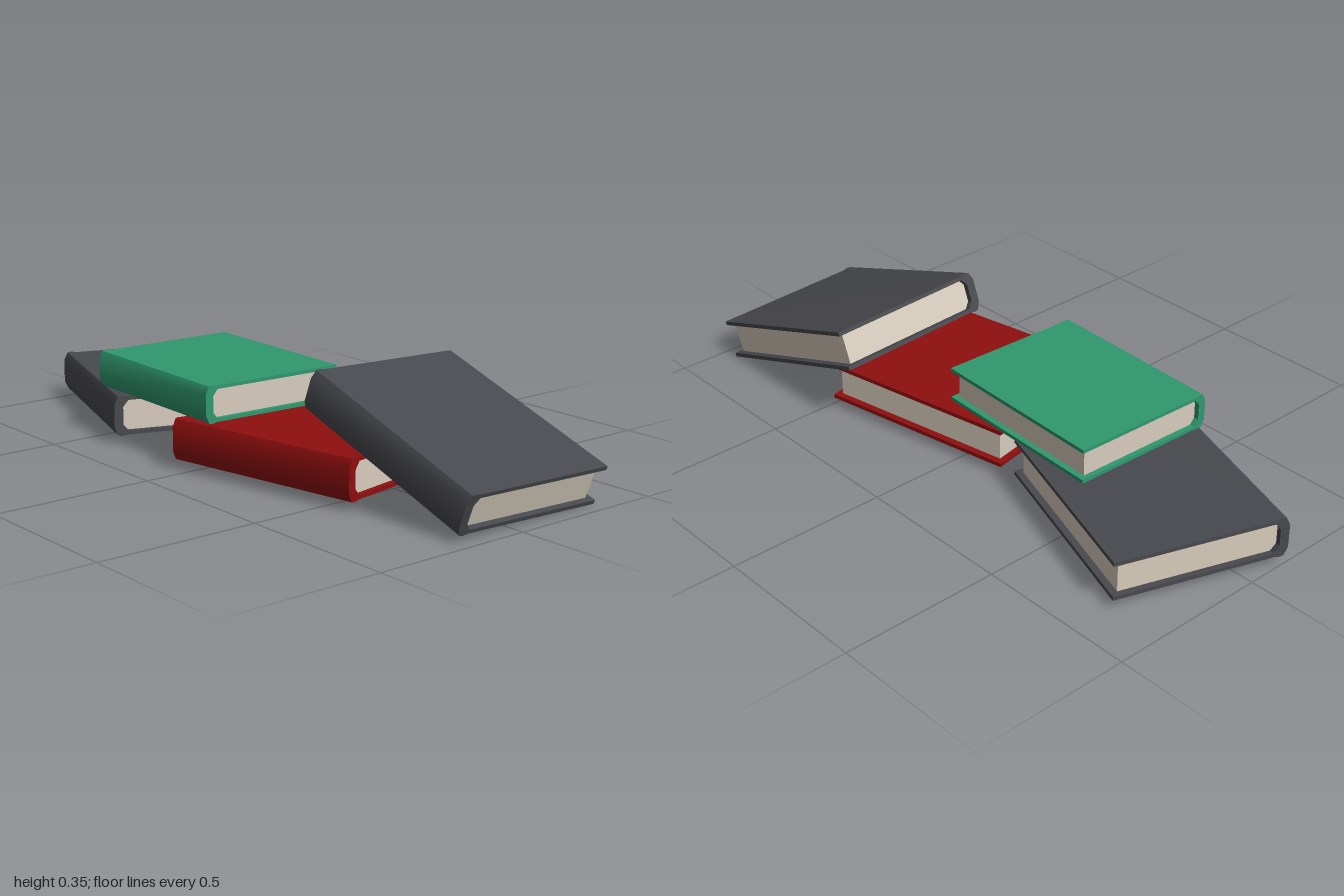
import * as THREE from 'three';
import { toCreasedNormals } from 'three/addons/utils/BufferGeometryUtils.js';

const LENGTH = 0.656;      // along the spine
const PAGE_INSET = 0.018;  // covers overhang the pages

// Mirrors an upper half-profile below y = 0 and extrudes it, centred, along z
function extrudeProfile(points, depth) {
  const shape = new THREE.Shape(points.map(([x, y]) => new THREE.Vector2(x, y)));
  const geometry = new THREE.ExtrudeGeometry(shape, { depth, bevelEnabled: false });
  geometry.translate(0, 0, -depth / 2);
  return toCreasedNormals(geometry, 0.6);
}

const mirrored = (half) => half.map(([x, y]) => [x, -y]).reverse();

function createBook(name, color, pageMaterial) {
  const book = new THREE.Group();
  book.name = name;

  // Cover: a C-shaped section with a faceted spine and shallow hinge grooves
  const outer = [
    [0.266, 0.0615], [-0.224, 0.0605], [-0.243, 0.064], [-0.255, 0.0615], [-0.267, 0.037],
  ];
  const inner = [[-0.239, 0.028], [-0.222, 0.049], [0.266, 0.049]];
  const coverGeometry = extrudeProfile(
    [...outer, ...mirrored(outer), ...mirrored(inner).slice(0, 3), ...inner], LENGTH);
  const cover = new THREE.Mesh(coverGeometry, new THREE.MeshStandardMaterial({ color }));
  cover.name = 'cover';

  // Page block, tapered where it meets the spine
  const pageHalf = [[0.245, 0.0495], [-0.223, 0.0495], [-0.2395, 0.028]];
  const pages = new THREE.Mesh(
    extrudeProfile([...pageHalf, ...mirrored(pageHalf)], LENGTH - 2 * PAGE_INSET), pageMaterial);
  pages.name = 'pages';

  book.add(cover, pages);
  return book;
}

export function createModel() {
  const model = new THREE.Group();
  model.name = 'scatteredBooks';
  const pageMaterial = new THREE.MeshStandardMaterial({ color: 0xd8cdbd });

  const books = [
    { name: 'backBook', color: 0x48494e, position: [0.005, 0.0925, -0.605], rotation: [0, -0.33, 0], scale: 1 },
    { name: 'redBook', color: 0x8f0e0e, position: [-0.045, 0.0925, 0.218], rotation: [0, 0.187, 0], scale: 1 },
    { name: 'greenBook', color: 0x30986f, position: [-0.081, 0.211, -0.225], rotation: [0, -0.037, 0], scale: 0.895 },
    { name: 'leaningBook', color: 0x48494e, position: [0.0675, 0.179, 0.664], rotation: [0.334, 0, -0.037], scale: 1 },
  ];
  for (const { name, color, position, rotation, scale } of books) {
    const book = createBook(name, color, pageMaterial);
    book.position.set(...position);
    book.rotation.set(...rotation);
    book.scale.setScalar(scale);
    model.add(book);
  }
  return model;
}
